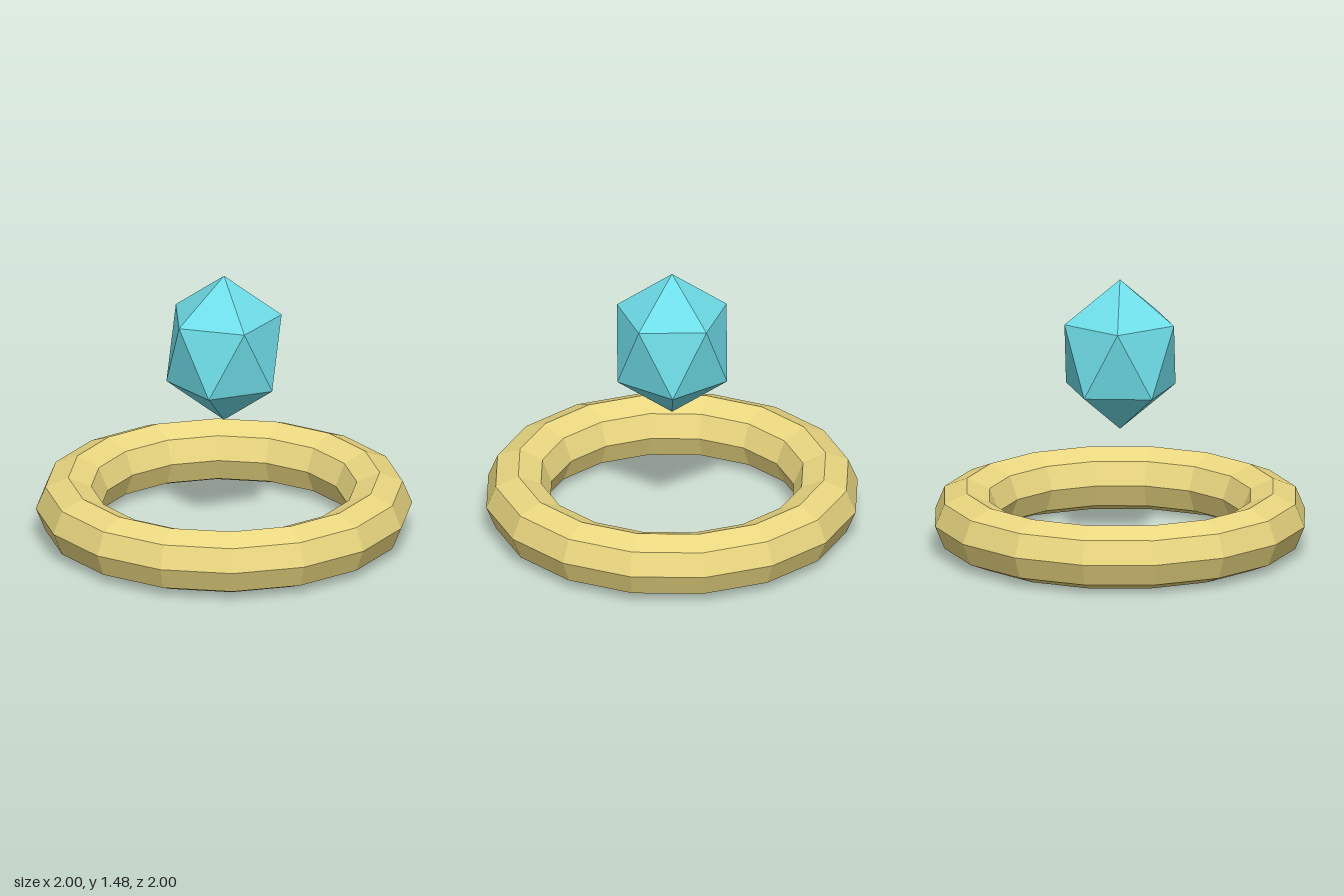
import * as THREE from 'three';
import { ConvexGeometry } from 'three/addons/geometries/ConvexGeometry.js';

const RING_RADIUS = 0.8275, TUBE = 0.1725;
const GEM_Y = 1.07, GEM_HALF_HEIGHT = 0.41, GEM_RADIUS = 0.306;

function faceted(color) {
  return new THREE.MeshStandardMaterial({ color, flatShading: true });
}

// Stretched icosahedron standing on a corner: two poles and two staggered rings of five
function gemGeometry() {
  const points = [];
  const ringY = GEM_HALF_HEIGHT / Math.sqrt(5);
  for (const side of [1, -1]) {
    points.push(new THREE.Vector3(0, side * GEM_HALF_HEIGHT, 0));
    for (let i = 0; i < 5; i++) {
      const a = (i / 5) * Math.PI * 2;
      points.push(new THREE.Vector3(
        side * GEM_RADIUS * Math.cos(a), side * ringY, side * GEM_RADIUS * Math.sin(a)));
    }
  }
  return new ConvexGeometry(points);
}

export function createModel() {
  const model = new THREE.Group();
  model.name = 'gemAndRing';

  // Flat-lying ring with an octagonal section
  const ring = new THREE.Mesh(new THREE.TorusGeometry(RING_RADIUS, TUBE, 8, 16), faceted(0xead780));
  ring.name = 'ring';
  ring.rotation.x = -Math.PI / 2;
  ring.position.y = TUBE;
  model.add(ring);

  // Gem floating above the ring
  const gem = new THREE.Mesh(gemGeometry(), faceted(0x6edde8));
  gem.name = 'gem';
  gem.position.y = GEM_Y;
  model.add(gem);

  return model;
}
